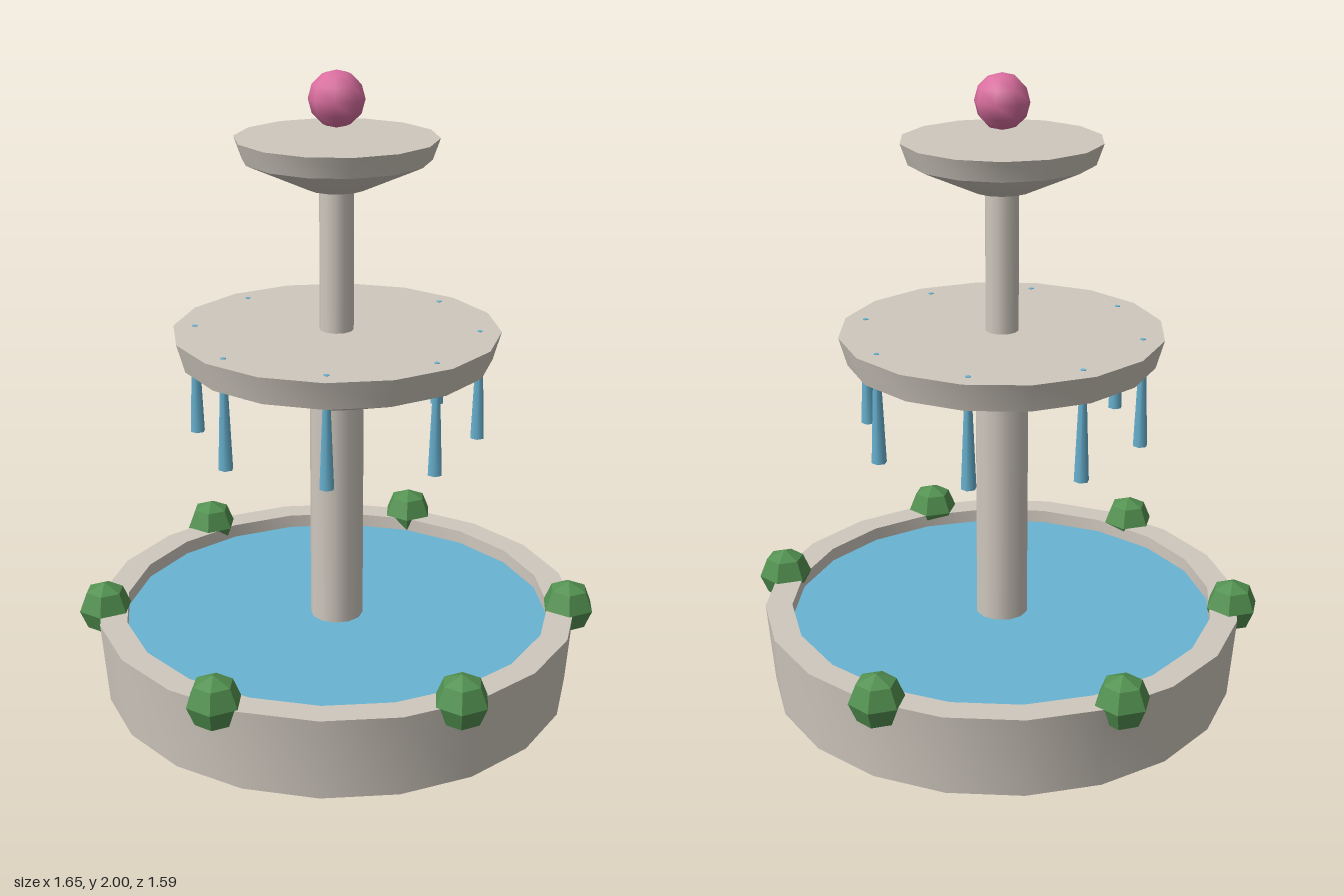
import * as THREE from 'three';
import { toCreasedNormals } from 'three/addons/utils/BufferGeometryUtils.js';

export function createModel() {
  const stone = new THREE.MeshStandardMaterial({ color: 0xcfc8be, side: THREE.DoubleSide });
  const water = new THREE.MeshStandardMaterial({ color: 0x69b3d2 });
  const leaf = new THREE.MeshStandardMaterial({ color: 0x529150, flatShading: true });
  const pink = new THREE.MeshStandardMaterial({ color: 0xdb6fa0 });
  stone.name = 'stone';
  water.name = 'water';
  leaf.name = 'leaf';
  pink.name = 'pink';

  const model = new THREE.Group();
  model.name = 'fountain';

  function add(name, geometry, material, x = 0, y = 0, z = 0) {
    const mesh = new THREE.Mesh(geometry, material);
    mesh.name = name;
    mesh.position.set(x, y, z);
    model.add(mesh);
    return mesh;
  }

  // Turned stone part: profile runs from bottom to top as [radius, y]
  function turned(name, profile, sides) {
    const points = profile.map(([r, y]) => new THREE.Vector2(r, y));
    const geometry = toCreasedNormals(new THREE.LatheGeometry(points, sides), 0.47);
    return add(name, geometry, stone);
  }

  function post(name, radius, bottom, top) {
    const geometry = new THREE.CylinderGeometry(radius, radius, top - bottom, 12);
    return add(name, geometry, stone, 0, (top + bottom) / 2, 0);
  }

  // Basin: hollow underneath, with a raised floor
  turned('basin', [[0.755, 0], [0.777, 0.27], [0.69, 0.27], [0.69, 0.085], [0, 0.085]], 20);
  const pool = new THREE.CircleGeometry(0.69, 20).rotateX(-Math.PI / 2);
  add('poolWater', pool, water, 0, 0.225, 0);

  // Column and tiers
  post('lowerColumn', 0.085, 0.085, 1.0);
  turned('middleBowl', [[0, 0.98], [0.14, 0.98], [0.485, 1.11], [0.511, 1.2], [0, 1.2]], 16);
  post('upperColumn', 0.053, 1.19, 1.66);
  const topBowl = turned('topBowl', [[0, 1.645], [0.09, 1.645], [0.288, 1.735], [0.311, 1.8], [0, 1.8]], 14);
  topBowl.rotation.y = Math.PI / 2;

  // Ball floating over the top bowl
  add('ball', new THREE.SphereGeometry(0.086, 8, 6), pink, 0, 1.914, 0);

  // Water jets hanging from the middle bowl
  const jet = new THREE.CylinderGeometry(0.009, 0.024, 0.352, 6);
  for (let i = 0; i < 8; i++) {
    const a = (i * Math.PI) / 4;
    add('waterJet', jet, water, 0.444 * Math.cos(a), 1.026, 0.444 * Math.sin(a));
  }

  // Bushes around the rim, one radian apart
  const bush = new THREE.SphereGeometry(0.087, 6, 4).rotateY(Math.PI / 6);
  for (let i = 0; i < 6; i++) {
    add('bush', bush, leaf, 0.755 * Math.cos(i), 0.27, 0.755 * Math.sin(i));
  }

  // Centre the uneven ring of bushes
  model.children.forEach((m) => {
    m.position.x -= 0.004;
    m.position.z += 0.017;
  });
  return model;
}
